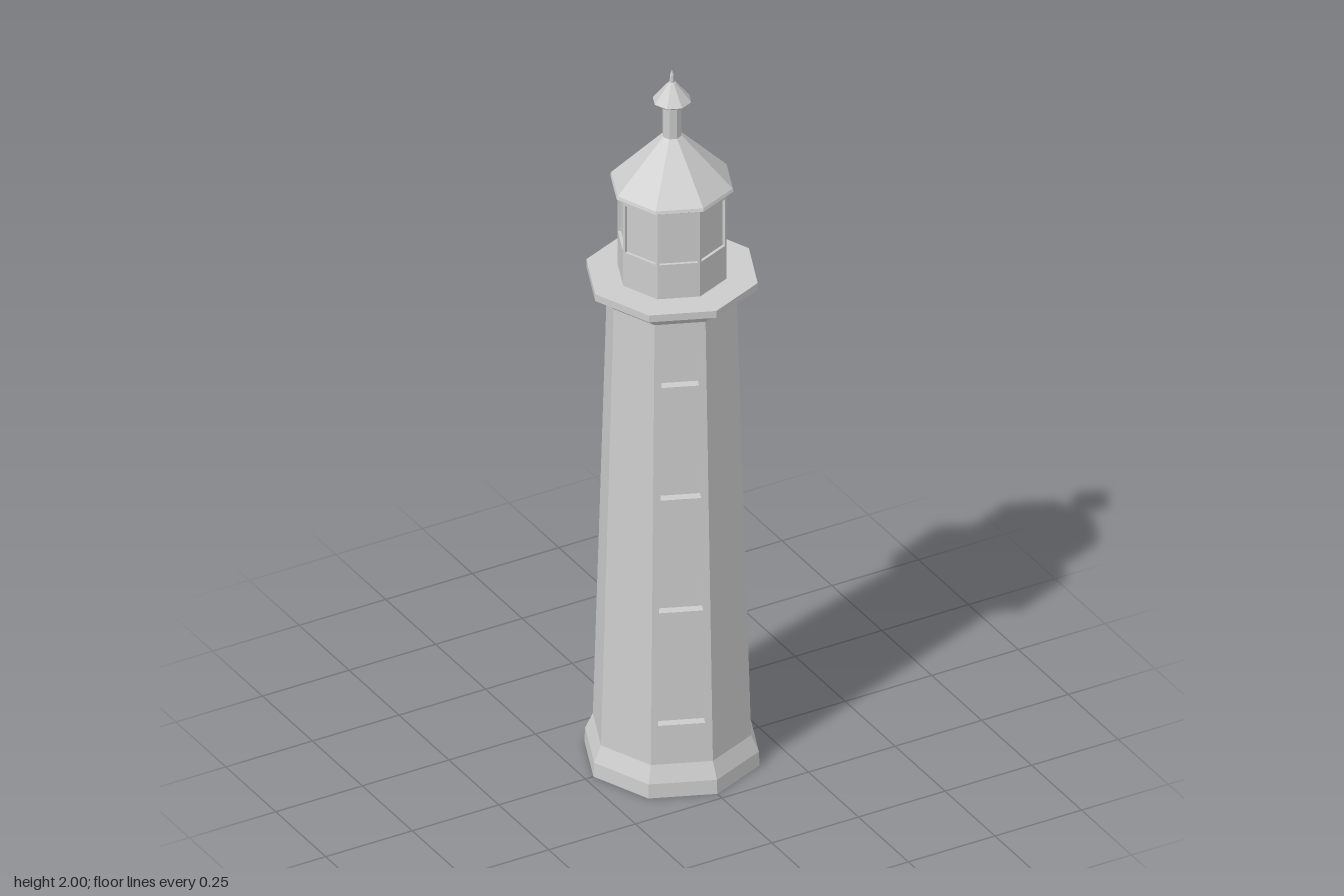
import * as THREE from 'three';

const SIDES = 8;
const STEP = (Math.PI * 2) / SIDES;
const material = new THREE.MeshStandardMaterial({ color: 0xcccccc, flatShading: true });

function add(parent, name, geometry) {
  const mesh = new THREE.Mesh(geometry, material);
  mesh.name = name;
  parent.add(mesh);
  return mesh;
}

// Octagonal turned part; the profile lists [radius, height] from bottom to top
function turned(parent, name, profile) {
  const points = profile.map(([r, y]) => new THREE.Vector2(r, y));
  return add(parent, name, new THREE.LatheGeometry(points, SIDES));
}

// One flat side of an octagonal wall with recessed windows.
// Each window is { y, w, h }: centre height, width and height.
function windowSide(parent, name, angle, r0, y0, r1, y1, windows, depth) {
  const side = new THREE.Group();
  side.name = name;
  side.rotation.y = angle;
  parent.add(side);

  const apothem = Math.cos(STEP / 2);
  const half = Math.sin(STEP / 2);
  const lean = Math.atan2((r0 - r1) * apothem, y1 - y0);
  const slant = (y1 - y0) / Math.cos(lean);

  const panel = new THREE.Group();
  panel.name = name + 'Panel';
  panel.position.set(0, y0, r0 * apothem);
  panel.rotation.x = -lean;
  side.add(panel);

  const outline = new THREE.Shape([
    new THREE.Vector2(-r0 * half, 0),
    new THREE.Vector2(r0 * half, 0),
    new THREE.Vector2(r1 * half, slant),
    new THREE.Vector2(-r1 * half, slant),
  ]);
  for (const { y, w, h } of windows) {
    const v = (y - y0) / Math.cos(lean);
    outline.holes.push(new THREE.Path([
      new THREE.Vector2(-w / 2, v - h / 2),
      new THREE.Vector2(-w / 2, v + h / 2),
      new THREE.Vector2(w / 2, v + h / 2),
      new THREE.Vector2(w / 2, v - h / 2),
    ]));
    const pane = add(panel, 'windowPane', new THREE.PlaneGeometry(w, h));
    pane.position.set(0, v, -depth);
  }
  const wall = new THREE.ExtrudeGeometry(outline, { depth, bevelEnabled: false });
  wall.translate(0, 0, -depth);
  add(panel, 'wall', wall);
}

export function createModel() {
  const model = new THREE.Group();
  model.name = 'lighthouse';

  // Flared foot
  turned(model, 'base', [[0, 0], [0.227, 0], [0.225, 0.04], [0.205, 0.085]]);

  // Tapered tower: seven plain sides and one with a column of windows
  const low = [0.205, 0.085];
  const high = [0.168, 1.36];
  const height = high[1] - low[1];
  const plain = new THREE.CylinderGeometry(high[0], low[0], height, SIDES - 1, 1, true, 0, STEP * (SIDES - 1));
  add(model, 'towerWalls', plain).position.y = (low[1] + high[1]) / 2;

  const towerWindows = [0, 1, 2, 3].map((i) => ({ y: 0.25 + i * 0.324, w: 0.119 - i * 0.008, h: 0.108 }));
  windowSide(model, 'towerWindowSide', -STEP / 2, ...low, ...high, towerWindows, 0.025);

  // Gallery on a sloping corbel
  turned(model, 'gallery', [[0.168, 1.35], [0.178, 1.36], [0.21, 1.388], [0.222, 1.39], [0.222, 1.41], [0, 1.41]]);

  // Lantern room with a shallow recessed pane on every side
  const lantern = new THREE.Group();
  lantern.name = 'lanternRoom';
  model.add(lantern);
  for (let i = 0; i < SIDES; i++) {
    const panes = [{ y: 1.577, w: 0.096, h: 0.136 }];
    windowSide(lantern, 'lanternSide', (i + 0.5) * STEP, 0.141, 1.41, 0.141, 1.675, panes, 0.008);
  }

  // Overhanging roof
  turned(model, 'roof', [[0.13, 1.675], [0.155, 1.665], [0.16, 1.668], [0.157, 1.676], [0.026, 1.81], [0, 1.81]]);

  // Vent pipe, its cap and the spike
  turned(model, 'ventPipe', [[0.025, 1.8], [0.025, 1.915]]);
  turned(model, 'ventCap', [[0.024, 1.915], [0.047, 1.908], [0.05, 1.912], [0.01, 1.962], [0, 1.966]]);
  turned(model, 'spike', [[0.007, 1.955], [0.005, 1.985], [0, 2]]);

  return model;
}
